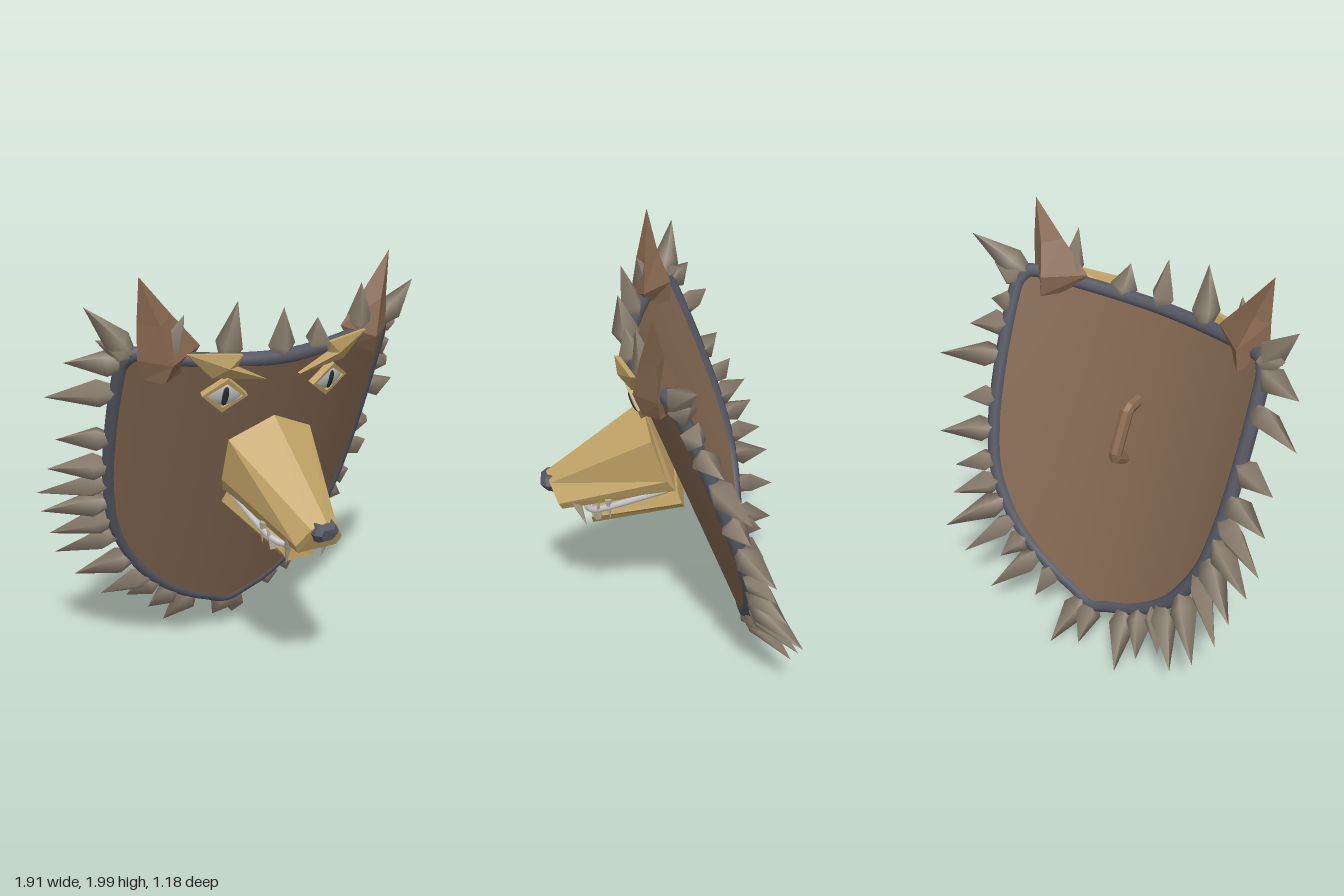
import * as THREE from 'three';

const mat = (name, color, extra = {}) => {
  const m = new THREE.MeshStandardMaterial({ color, ...extra });
  m.name = name;
  return m;
};
const V = (x, y, z) => new THREE.Vector3(x, y, z);

// depth of the tilted, bowed shield front at a point of its front outline
const surf = (x, y) => {
  const a = Math.abs(x), d = a < 0.68 ? 0.43 * a * a : 0.2 + (a - 0.68) * 0.4;
  return 0.07 + (y - 1.315) * 0.395 - d * 1.075;
};

// skin a list of rings (counter-clockwise seen from the last ring), capped at both ends
function loft(rings, side = 1) {
  const R = rings.map(r => {
    const p = r.map(([x, y, z]) => [x * side, y, z]);
    return side < 0 ? p.reverse() : p;
  });
  const pos = [], tri = (...p) => p.forEach(q => pos.push(...q));
  const n = R[0].length, last = R[R.length - 1];
  for (let k = 0; k < R.length - 1; k++) {
    for (let i = 0; i < n; i++) {
      const j = (i + 1) % n, a = R[k], b = R[k + 1];
      tri(a[i], a[j], b[j]);
      tri(a[i], b[j], b[i]);
    }
  }
  for (let i = 1; i < n - 1; i++) {
    tri(last[0], last[i], last[i + 1]);
    tri(R[0][0], R[0][i + 1], R[0][i]);
  }
  const g = new THREE.BufferGeometry();
  g.setAttribute('position', new THREE.Float32BufferAttribute(pos, 3));
  g.computeVertexNormals();
  return g;
}
// full ring from its right half, listed from top to bottom
const ring = half => [
  ...half.map(([x, y, z]) => [-x, y, z]),
  ...half.filter(p => p[0] > 0).reverse(),
];

export function createModel() {
  const model = new THREE.Group();
  const brown = mat('shieldBrown', 0x80654f, { side: THREE.DoubleSide });
  const horn = mat('earBrown', 0x85664e, { flatShading: true });
  const steel = mat('darkSteel', 0x555762);
  const bone = mat('spikeTaupe', 0x8e8172);
  const gold = mat('gold', 0xc2a468, { flatShading: true });
  const white = mat('paleGrey', 0xc6c6c8);
  const ivory = mat('ivory', 0xb5aa98, { flatShading: true });
  const black = mat('pupilDark', 0x2c2d33);

  const add = (name, geo, m) => {
    const mesh = new THREE.Mesh(geo, m);
    mesh.name = name;
    model.add(mesh);
    return mesh;
  };
  // stand a geometry that points up +y on base, aimed at tip
  const aim = (mesh, base, tip) => {
    mesh.position.copy(base);
    mesh.quaternion.setFromUnitVectors(V(0, 1, 0), tip.clone().sub(base).normalize());
  };
  const fang = (name, base, tip, r) => {
    const len = base.distanceTo(tip);
    aim(add(name, new THREE.ConeGeometry(r, len, 5).translate(0, len / 2, 0), ivory), base, tip);
  };
  const spike = (base, tip, spin) => {
    const len = base.distanceTo(tip);
    const profile = [[0.03, 0], [0.064, len * 0.26], [0, len]].map(p => new THREE.Vector2(...p));
    aim(add('spike', new THREE.LatheGeometry(profile, 4).rotateY(spin), bone), base, tip);
  };

  // outline of the shield, run along the middle of its thickness
  const half = [[0, 0.21], [0.1, 0.245], [0.25, 0.31], [0.44, 0.46], [0.59, 0.7], [0.65, 0.95],
    [0.675, 1.3], [0.672, 1.58], [0.668, 1.61], [0.635, 1.655], [0.61, 1.658], [0.4, 1.625], [0, 1.6]];
  const loop = [...half, ...half.slice(1, -1).reverse().map(([x, y]) => [-x, y])];
  const outline = new THREE.CatmullRomCurve3(loop.map(([x, y]) => V(x, y, surf(x, y) - 0.028)), true);
  const N = 96, edge = outline.getSpacedPoints(N);

  // bowed shield: front and back sheets joined under the rim
  const pos = [], idx = [], K = 10;
  for (let k = 0; k <= K; k++) {
    for (let i = 0; i <= N; i++) {
      const x = edge[i].x * k / K, y = 1 + (edge[i].y - 1) * k / K;
      pos.push(x, y, surf(x, y));
      if (k < K && i < N) {
        const a = k * (N + 1) + i, b = a + N + 1;
        idx.push(a, b, b + 1);
        if (k > 0) idx.push(a, b + 1, a + 1);
      }
    }
  }
  const plate = new THREE.BufferGeometry();
  plate.setAttribute('position', new THREE.Float32BufferAttribute(pos, 3));
  plate.setIndex(idx);
  plate.computeVertexNormals();
  add('shieldFront', plate, brown);
  add('shieldBack', plate, brown).position.z = -0.05;
  add('rim', new THREE.TubeGeometry(outline, 160, 0.034, 8, true), steel);

  // spikes: tips in front elevation, each rooted on the nearest stretch of rim
  const tips = [
    [-0.83, 1.87], [-0.78, 1.72], [-0.9, 1.62], [-0.96, 1.45], [-0.9, 1.23], [-0.92, 1.07],
    [-0.95, 0.93], [-0.92, 0.82], [-0.87, 0.68], [-0.83, 0.56], [-0.73, 0.41], [-0.6, 0.28],
    [-0.49, 0.27], [-0.37, 0.17], [-0.27, 0.06], [-0.01, 0.05], [0.13, 0.01], [0.28, 0.18],
    [0.49, 0.19], [0.49, 0.33], [0.64, 0.35], [0.75, 0.46], [0.76, 0.61], [0.78, 0.74],
    [0.88, 0.89], [0.81, 1.06], [0.95, 1.25], [0.84, 1.4], [0.77, 1.52], [0.89, 1.81],
    [0.78, 1.69], [0.44, 1.88], [0.18, 1.76], [-0.01, 1.83], [-0.23, 1.88], [-0.45, 1.83],
  ];
  tips.forEach(([x, y], i) => {
    let root = edge[0], best = 9;
    for (const p of edge) {
      const d = Math.hypot(p.x - x, p.y - y);
      if (d < best) { best = d; root = p; }
    }
    const lean = 0.38 * Math.max(0, root.y - y) + 0.2 * Math.max(0, y - root.y);
    spike(root, V(x, y, surf(x, y) - 0.03 - lean), i * 0.9);
  });

  // snout and lower jaw
  add('snout', loft([
    ring([[0, 1.315, 0.1], [0.215, 1.22, 0.06], [0.215, 1.01, -0.01], [0.19, 0.945, -0.05]]),
    ring([[0, 0.95, 0.55], [0.065, 0.92, 0.53], [0.12, 0.84, 0.49], [0.1, 0.8, 0.475]]),
  ]), gold);
  add('lowerJaw', loft([
    ring([[0.16, 0.925, -0.06], [0.18, 0.87, -0.08], [0.12, 0.815, -0.095]]),
    ring([[0.09, 0.78, 0.335], [0.1, 0.75, 0.34], [0.065, 0.7, 0.335]]),
  ]), gold);
  add('nose', loft([
    ring([[0.045, 0.95, 0.5], [0.065, 0.9, 0.49], [0.035, 0.85, 0.49]]),
    ring([[0.042, 0.94, 0.55], [0.062, 0.9, 0.55], [0.032, 0.858, 0.54]]),
    ring([[0.028, 0.925, 0.575], [0.042, 0.9, 0.575], [0.022, 0.872, 0.565]]),
  ]), steel);

  // gum bar running round the mouth
  const gum = new THREE.CatmullRomCurve3([V(-0.17, 0.94, -0.01), V(-0.125, 0.81, 0.33),
    V(-0.06, 0.79, 0.36), V(0.06, 0.79, 0.36), V(0.125, 0.81, 0.33), V(0.17, 0.94, -0.01)]);
  add('gumBar', new THREE.TubeGeometry(gum, 32, 0.016, 6), white);

  const lens = (w, h) => [[w, 0], [0, h], [-w, 0], [0, -h]].map(p => new THREE.Vector2(...p));
  for (const s of [1, -1]) {
    // fangs
    fang('upperFang', V(s * 0.105, 0.87, 0.42), V(s * 0.092, 0.695, 0.362), 0.03);
    fang('upperSideFang', V(s * 0.15, 0.88, 0.26), V(s * 0.15, 0.77, 0.25), 0.018);
    fang('lowerFang', V(s * 0.125, 0.77, 0.31), V(s * 0.16, 0.88, 0.3), 0.022);

    // ears gripping the top corners
    const tip = [0.63, 2, 0.06];
    add('ear', loft([
      [[0.61, 1.55, 0.03], [0.54, 1.57, -0.05], [0.43, 1.58, 0.07], [0.54, 1.535, 0.1]],
      [[0.64, 1.64, 0.04], [0.53, 1.67, -0.05], [0.36, 1.68, 0.08], [0.52, 1.62, 0.14]],
      [[0.637, 1.8, 0.04], [0.57, 1.81, 0.01], [0.49, 1.83, 0.07], [0.56, 1.79, 0.11]],
      [tip, tip, tip, tip],
    ], s), horn);

    // brow: a swept plate with a raised middle
    const brow = [[0.455, 1.665], [0.22, 1.65], [0.235, 1.595], [0.085, 1.515], [0.335, 1.543]];
    const lift = (h, f) => brow.map(([x, y]) => {
      const px = 0.28 + (x - 0.28) * f, py = 1.59 + (y - 1.59) * f;
      return [px, py, surf(px, py) + h];
    });
    add('brow', loft([lift(0.012, 1), lift(0.035, 1), lift(0.06, 0.01)], s), gold);

    // eye: frame, eyeball and slit pupil
    const eye = new THREE.Group();
    eye.name = 'eye';
    eye.position.set(s * 0.265, 1.465, 0.108);
    eye.rotation.set(0.376, s * 0.2, 0);
    const shape = new THREE.Shape(lens(0.105, 0.09));
    shape.holes.push(new THREE.Path(lens(0.083, 0.064)));
    const frame = new THREE.Mesh(
      new THREE.ExtrudeGeometry(shape, { depth: 0.032, bevelEnabled: false }), gold);
    frame.name = 'eyeFrame';
    const ball = new THREE.Mesh(new THREE.SphereGeometry(1, 16, 12), white);
    ball.name = 'eyeball';
    ball.scale.set(0.08, 0.06, 0.022);
    ball.position.z = 0.016;
    const pupil = new THREE.Mesh(new THREE.SphereGeometry(1, 10, 8), black);
    pupil.name = 'pupil';
    pupil.scale.set(0.017, 0.05, 0.01);
    pupil.position.z = 0.033;
    eye.add(frame, ball, pupil);
    model.add(eye);
  }

  // grip on the back
  const grip = new THREE.CurvePath();
  const g = [V(0, 1.2, -0.02), V(0, 1.19, -0.1), V(0, 0.98, -0.2), V(0, 0.92, -0.11)];
  for (let i = 0; i < 3; i++) grip.add(new THREE.LineCurve3(g[i], g[i + 1]));
  add('grip', new THREE.TubeGeometry(grip, 24, 0.032, 8), horn);

  return model;
}
